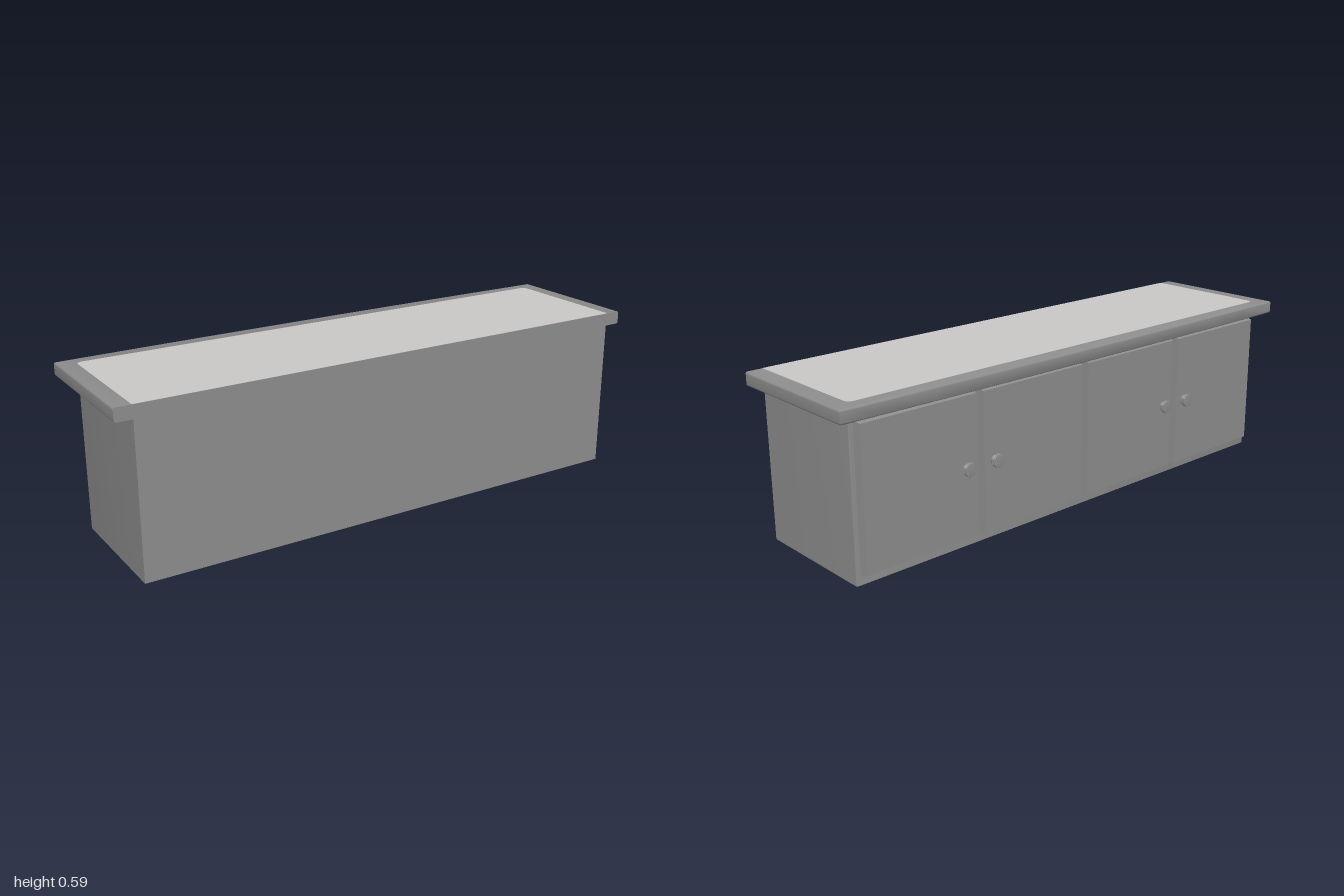
import * as THREE from 'three';
import { toCreasedNormals } from 'three/addons/utils/BufferGeometryUtils.js';

const FRONT = 0.265, BACK = -0.203;

// Extrudes a plan outline (x, -z) upward from height y
function slab(shape, y, depth, options = {}) {
  const geo = new THREE.ExtrudeGeometry(shape, { depth, bevelEnabled: false, ...options });
  return geo.rotateX(-Math.PI / 2).translate(0, y, 0);
}

// Plan outline with straight front corners and rounded back corners
function roundedBackShape(halfWidth, front, back, r) {
  const s = new THREE.Shape();
  s.moveTo(-halfWidth, -front);
  s.lineTo(halfWidth, -front);
  s.lineTo(halfWidth, -back - r);
  s.quadraticCurveTo(halfWidth, -back, halfWidth - r, -back);
  s.lineTo(-halfWidth + r, -back);
  s.quadraticCurveTo(-halfWidth, -back, -halfWidth, -back - r);
  s.closePath();
  return s;
}

// Counter with a gently bowed back edge and rounded rims, cut flat at the front
function counterGeometry() {
  const b = 0.007, w = 1 - b;
  const s = new THREE.Shape();
  s.moveTo(-w, -FRONT - 0.03);
  s.lineTo(w, -FRONT - 0.03);
  s.lineTo(w, 0.255 - b);
  s.quadraticCurveTo(0, 0.275 - b, -w, 0.255 - b);
  s.closePath();
  const geo = slab(s, 0.54 + b, 0.047 - 2 * b, {
    bevelEnabled: true, bevelSize: b, bevelThickness: b, bevelSegments: 4, curveSegments: 12,
  });
  const p = geo.attributes.position;
  for (let i = 0; i < p.count; i++) p.setZ(i, Math.min(p.getZ(i), FRONT));
  return toCreasedNormals(geo, 0.6);
}

// Door panel whose outer face is smaller than its base
function doorGeometry() {
  const depth = 0.027;
  const geo = new THREE.BoxGeometry(0.45, 0.5, depth).toNonIndexed();
  const p = geo.attributes.position;
  for (let i = 0; i < p.count; i++) {
    if (p.getZ(i) < 0) p.setXY(i, p.getX(i) * 0.965, p.getY(i) * 0.966);
  }
  geo.computeVertexNormals();
  return geo;
}

// Turned knob, pointing backward
function knobGeometry() {
  const profile = [
    [0.018, 0], [0.0165, 0.003], [0.0165, 0.009], [0.0225, 0.01], [0.0235, 0.012],
    [0.0205, 0.015], [0.0205, 0.018], [0.0235, 0.021], [0.0225, 0.023], [0.015, 0.024], [0, 0.0245],
  ].map(([r, y]) => new THREE.Vector2(r, y));
  return toCreasedNormals(new THREE.LatheGeometry(profile, 20).rotateX(-Math.PI / 2), 0.7);
}

export function createModel() {
  const model = new THREE.Group();
  model.name = 'cabinet';
  const grey = new THREE.MeshStandardMaterial({ color: 0x8c8c8c });
  grey.name = 'cabinetGrey';
  const pale = new THREE.MeshStandardMaterial({ color: 0xcac8c6 });
  pale.name = 'paleWorktop';

  const add = (name, geo, mat, x = 0, y = 0, z = 0) => {
    const mesh = new THREE.Mesh(geo, mat);
    mesh.name = name;
    mesh.position.set(x, y, z);
    model.add(mesh);
  };

  // Carcass, counter and inlaid worktop
  add('carcass', toCreasedNormals(slab(roundedBackShape(0.94, FRONT, BACK, 0.005), 0, 0.542), 0.6), grey);
  add('counter', counterGeometry(), grey);
  add('worktopInlay', slab(roundedBackShape(0.942, FRONT, -0.21, 0.025), 0.5865, 0.0012), pale);

  // Four doors, with a knob beside each outer gap
  const door = doorGeometry(), knob = knobGeometry();
  for (const side of [-1, 1]) {
    for (const [label, x, knobX] of [['inner', 0.234, 0.408], ['outer', 0.7, 0.525]]) {
      add(label + 'Door', door, grey, side * x, 0.279, BACK - 0.0115);
      add(label + 'Knob', knob, grey, side * knobX, 0.28, -0.227);
    }
  }
  return model;
}
